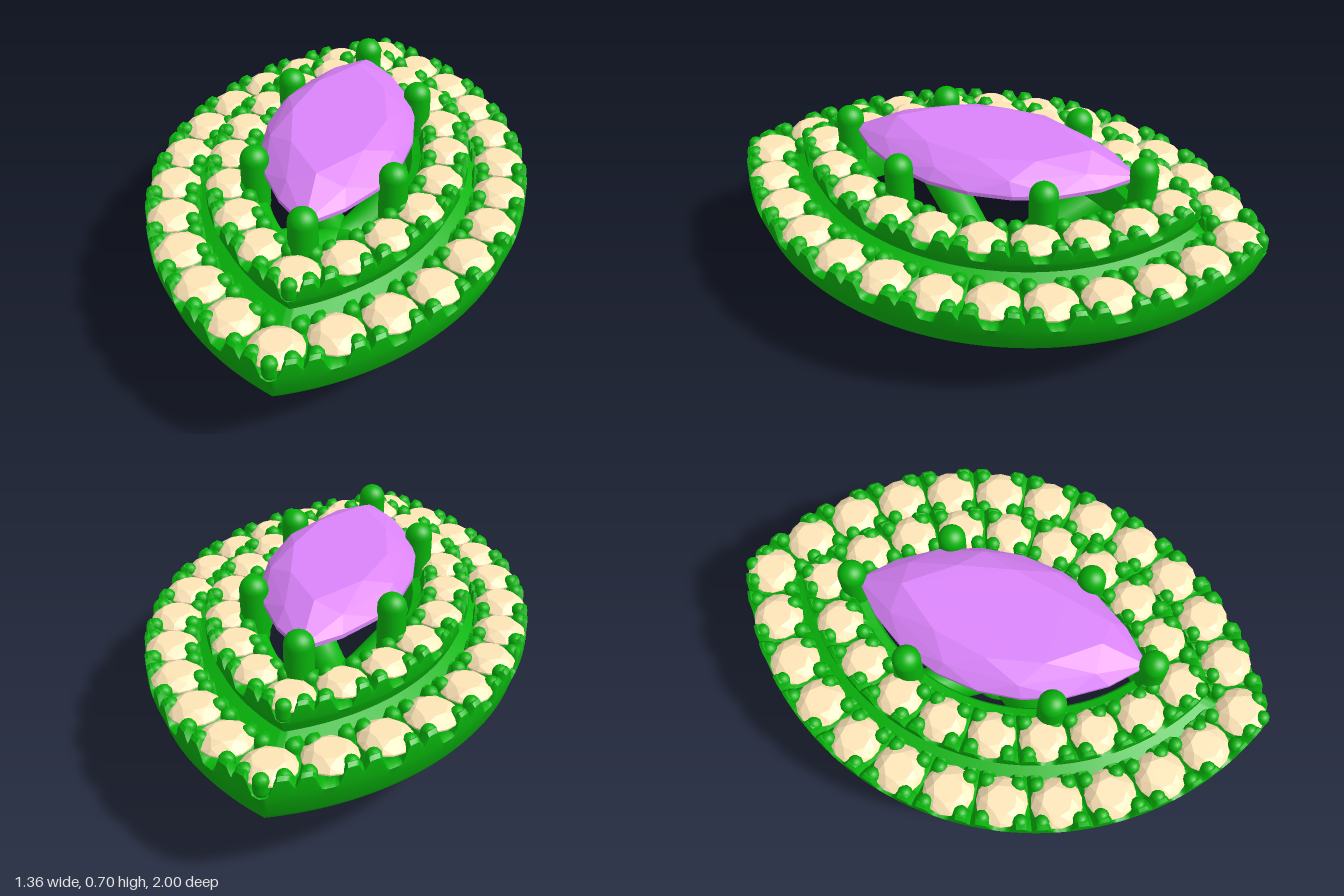
import * as THREE from 'three';
import { mergeGeometries, toCreasedNormals } from 'three/addons/utils/BufferGeometryUtils.js';
import { ConvexGeometry } from 'three/addons/geometries/ConvexGeometry.js';

const metal = new THREE.MeshStandardMaterial({ color: 0x08b40c });
const cream = new THREE.MeshStandardMaterial({ color: 0xffe6b8, flatShading: true });
const violet = new THREE.MeshStandardMaterial({ color: 0xdc84fc, flatShading: true });
const { smoothstep, degToRad } = THREE.MathUtils;

// Point on a pointed oval (two arcs) of half-width w and half-length l, moved inwards by d; u runs 0..1
function lens(w, l, d, u, y) {
  const r0 = (w * w + l * l) / (2 * w), c = r0 - w, r = r0 - d;
  const half = Math.acos(c / r), side = u % 1 < 0.5 ? 1 : -1;
  const a = half * (((u * 2) % 1) * 2 - 1);
  return new THREE.Vector3(side * (r * Math.cos(a) - c), y, side * r * Math.sin(a));
}

// Closed ring swept round the oval. Rows are [inset, height, extra height of the posts beside each stone]
function haloRing(w, l, rows, stones) {
  const n = stones * 24, pos = [], index = [];
  for (const [d, y, rise = 0] of rows) {
    for (let j = 0; j < n; j++) {
      const u = j / n, phase = u * stones;
      const q = Math.abs(phase - Math.round(phase));
      const post = smoothstep(q, 0.1, 0.26) * (1 - 0.55 * smoothstep(q, 0.4, 0.5));
      pos.push(...lens(w, l, d, u, y + rise * post).toArray());
    }
  }
  rows.forEach((_, i) => {
    const k = ((i + 1) % rows.length) * n;
    for (let j = 0; j < n; j++) {
      const j2 = (j + 1) % n;
      index.push(i * n + j, k + j, i * n + j2, i * n + j2, k + j, k + j2);
    }
  });
  const geo = new THREE.BufferGeometry();
  geo.setAttribute('position', new THREE.Float32BufferAttribute(pos, 3));
  geo.setIndex(index);
  return toCreasedNormals(geo, 0.75);
}

// Round brilliant cut with its girdle at y = 0
function roundCut(r) {
  const pts = [new THREE.Vector3(0, -0.75 * r, 0)];
  for (const [k, y, n, turn] of [[0.58, 0.36, 8, 0], [0.85, 0.2, 8, 0.5], [1, 0.03, 16, 0], [1, -0.03, 16, 0]]) {
    for (let i = 0; i < n; i++) {
      const a = ((i + turn) / n) * Math.PI * 2;
      pts.push(new THREE.Vector3(r * k * Math.cos(a), r * y, r * k * Math.sin(a)));
    }
  }
  return new ConvexGeometry(pts);
}

// Pointed oval cut
function marquiseCut() {
  const pts = [new THREE.Vector3(0, 0.5, 0.1), new THREE.Vector3(0, 0.5, -0.1)];
  for (const [w, l, y, n, turn] of [
    [0.17, 0.36, 0.7, 8, 0], [0.235, 0.46, 0.665, 8, 0.5],
    [0.265, 0.53, 0.625, 16, 0], [0.265, 0.53, 0.61, 16, 0], [0.18, 0.38, 0.55, 8, 0.5],
  ]) {
    for (let i = 0; i < n; i++) pts.push(lens(w, l, 0, (i + turn) / n, y));
  }
  return new ConvexGeometry(pts);
}

export function createModel() {
  const model = new THREE.Group();
  const add = (name, geo, mat, parent = model) => {
    const mesh = new THREE.Mesh(geo, mat);
    mesh.name = name;
    parent.add(mesh);
    return mesh;
  };

  // A metal ring with its row of stones and the beads that hold them
  function halo(name, o) {
    const group = new THREE.Group();
    group.name = name;
    model.add(group);
    add(name + 'Setting', haloRing(o.w, o.l, o.rows, o.count), metal, group);
    const cut = roundCut(o.radius), beads = [];
    const bead = new THREE.CapsuleGeometry(0.027, 0.03, 4, 10);
    const addBead = (d, u) => {
      const p = lens(o.w, o.l, d, u, o.top - 0.042);
      beads.push(bead.clone().translate(p.x, p.y, p.z));
    };
    for (let i = 0; i < o.count; i++) {
      const stone = add('smallStone', cut, cream, group);
      stone.position.copy(lens(o.w, o.l, o.mid, i / o.count, o.girdle));
      stone.rotation.y = i * 1.7;
      for (const shift of [0.32, 0.68]) {
        addBead(0.03, (i + shift) / o.count);
        addBead(o.mid * 2 - 0.03, (i + shift) / o.count);
      }
    }
    // One bead on each pointed tip
    addBead(0.025, 0);
    addBead(0.025, 0.5);
    add(name + 'Beads', mergeGeometries(beads), metal, group);
  }

  halo('outerHalo', {
    w: 0.68, l: 1, count: 24, radius: 0.09, mid: 0.095, girdle: 0.443, top: 0.48,
    rows: [
      [0.055, 0.29], [0.037, 0.297], [0.026, 0.315], [0.011, 0.37], [0, 0.405], [0, 0.405, 0.06], [0.012, 0.41, 0.065],
      [0.035, 0.41, 0.06], [0.05, 0.4, 0.04], [0.095, 0.39, 0.05], [0.14, 0.4, 0.04], [0.16, 0.41, 0.055], [0.19, 0.41, 0.055],
      [0.2, 0.4], [0.2, 0.382], [0.172, 0.382], [0.168, 0.29],
    ],
  });
  // The inner ring ends in a tall wall round the opening under the centre stone
  halo('innerHalo', {
    w: 0.465, l: 0.76, count: 18, radius: 0.083, mid: 0.085, girdle: 0.533, top: 0.57,
    rows: [
      [-0.04, 0.375], [-0.04, 0.42], [0.02, 0.45], [0.008, 0.48], [0, 0.5], [0, 0.5, 0.055], [0.012, 0.505, 0.06],
      [0.035, 0.505, 0.055], [0.05, 0.49, 0.04], [0.085, 0.48, 0.05], [0.12, 0.49, 0.04], [0.135, 0.505, 0.05],
      [0.165, 0.505, 0.05], [0.175, 0.5], [0.205, 0.49], [0.215, 0.47], [0.215, 0.375],
    ],
  });

  // Centre stone and its six prongs
  add('centreStone', marquiseCut(), violet);
  const prong = new THREE.CapsuleGeometry(0.05, 0.18, 8, 20);
  for (const [x, z] of [[0, 0.55], [0, -0.55], [0.24, 0.26], [0.24, -0.26], [-0.24, 0.26], [-0.24, -0.26]]) {
    add('prong', prong, metal).position.set(x, 0.56, z);
  }

  // Four diagonal curved arms meeting in a rounded hub underneath
  const path = new THREE.CatmullRomCurve3(
    [[0, 0.1], [0.1, 0.128], [0.25, 0.21], [0.42, 0.284], [0.56, 0.333], [0.68, 0.355]]
      .map(([x, y]) => new THREE.Vector3(x, y, 0)));
  const arm = new THREE.TubeGeometry(path, 40, 0.074, 16).scale(1, 1, 0.95);
  for (const degrees of [50, 130, 230, 310]) {
    add('supportArm', arm, metal).rotation.y = degToRad(degrees);
  }
  const hub = add('hub', new THREE.SphereGeometry(0.115, 32, 20), metal);
  hub.scale.y = 0.6;
  hub.position.y = 0.069;
  return model;
}
